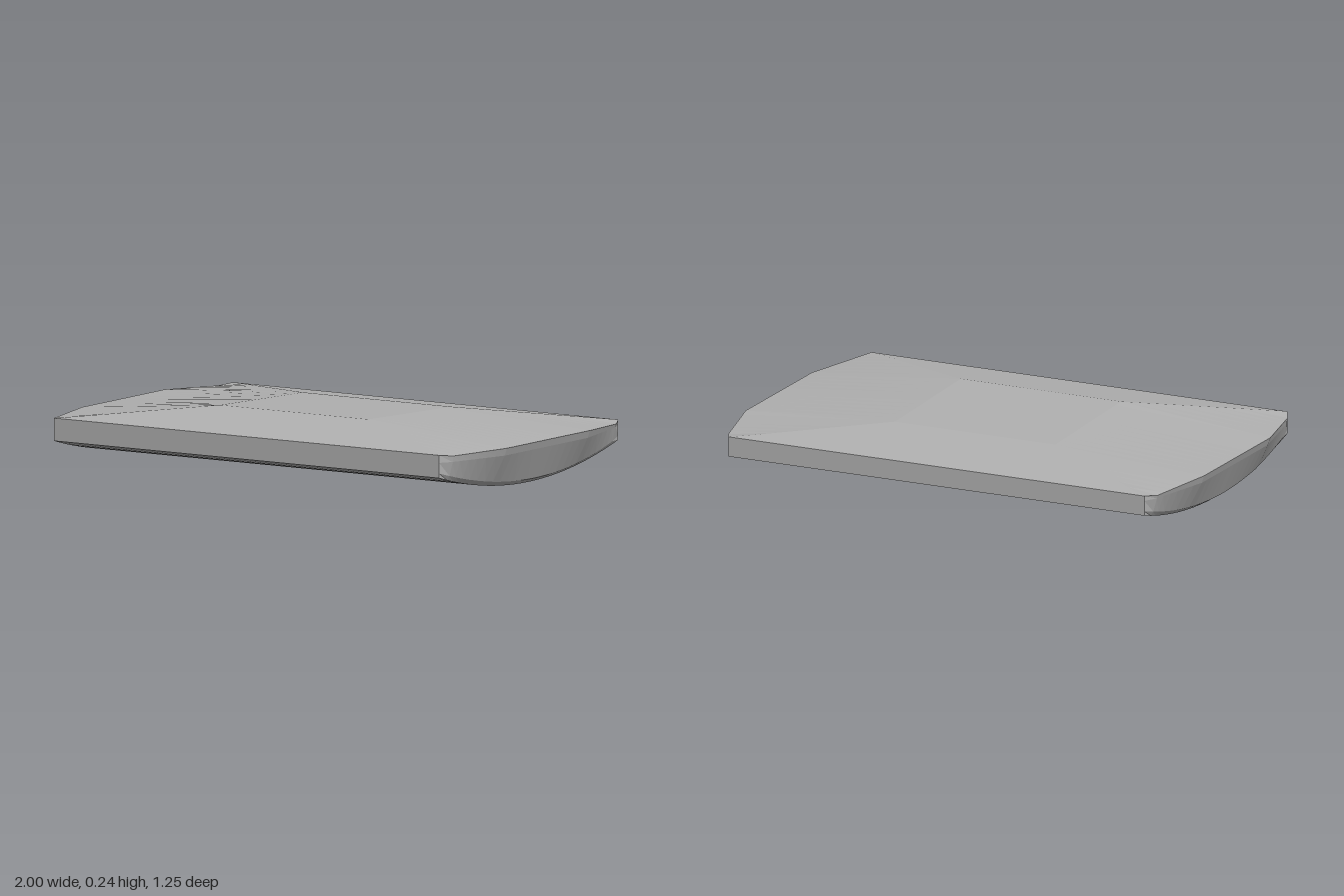
import * as THREE from 'three';

// piecewise-linear lookup: keys ascending in the first column
function lerpTable(table, t) {
  for (let i = 1; i < table.length; i++) {
    const [a, va] = table[i - 1], [b, vb] = table[i];
    if (t <= b + 1e-6) return va + (vb - va) * (t - a) / (b - a);
  }
  return table[table.length - 1][1];
}

// outline and heights by z
const END = 0.627;
const rimX = [[0, 1], [0.29, 1], [0.57, 0.937], [END, 0.907]];
const rimY = [[-END, 0.17], [-0.57, 0.162], [-0.29, 0.175], [0.29, 0.175], [0.57, 0.173], [END, 0.18]];
const bandX = [[0, 0.99], [0.29, 0.99], [0.57, 0.933], [END, 0.907]];
const bandY = [[0, 0.145], [0.29, 0.145], [END, 0.15]];
const lipX = [[0, 0.937], [0.29, 0.934], [0.57, 0.918], [END, 0.907]];
const topX = [[0, 0.35], [0.29, 0.35], [END, 0.9]];
const topY = [[-END, 0.17], [-0.29, 0.216], [0.29, 0.236], [END, 0.18]];

// cross-section at z, counterclockwise seen from the front
function section(z) {
  const d = Math.abs(z);
  const belly = 0.09 * (d / END) ** 2;
  const half = [
    [0.907, belly],
    [lipX === null ? 0 : lerpTable(lipX, d), belly + 0.018],
    [lerpTable(bandX, d), lerpTable(bandY, d)],
    [lerpTable(rimX, d), lerpTable(rimY, z)],
    [lerpTable(topX, d), lerpTable(topY, z)],
  ];
  const mirrored = half.map(([x, y]) => [-x, y]).reverse();
  return [...half, ...mirrored].map(([x, y]) => [x, y, z]);
}

export function createModel() {
  const group = new THREE.Group();
  group.name = 'curvedSlab';
  const grey = new THREE.MeshStandardMaterial({ color: 0xb0b0b0, flatShading: true });
  grey.name = 'grey';

  // stations along z, including every corner of the outline
  const stations = [-END, -0.57, -0.29, 0.29, 0.57, END];
  for (let i = -5; i <= 5; i++) stations.push(i * 0.048);
  for (const z of [0.34, 0.39, 0.44, 0.485, 0.53]) stations.push(z, -z);
  stations.sort((a, b) => a - b);

  const positions = [], index = [];
  stations.forEach(z => section(z).forEach(p => positions.push(...p)));
  const n = 10, last = (stations.length - 1) * n;
  for (let i = 0; i < stations.length - 1; i++) {
    for (let j = 0; j < n; j++) {
      const k = (j + 1) % n;
      const a = i * n + j, b = i * n + k, c = b + n, d = a + n;
      index.push(a, b, c, a, c, d);
    }
  }
  // flat end walls
  for (let j = 1; j < n - 1; j++) {
    index.push(last, last + j, last + j + 1);
    index.push(0, j + 1, j);
  }

  const indexed = new THREE.BufferGeometry();
  indexed.setAttribute('position', new THREE.Float32BufferAttribute(positions, 3));
  indexed.setIndex(index);
  const geometry = indexed.toNonIndexed();
  geometry.computeVertexNormals();

  const slab = new THREE.Mesh(geometry, grey);
  slab.name = 'slabBody';
  group.add(slab);
  return group;
}
